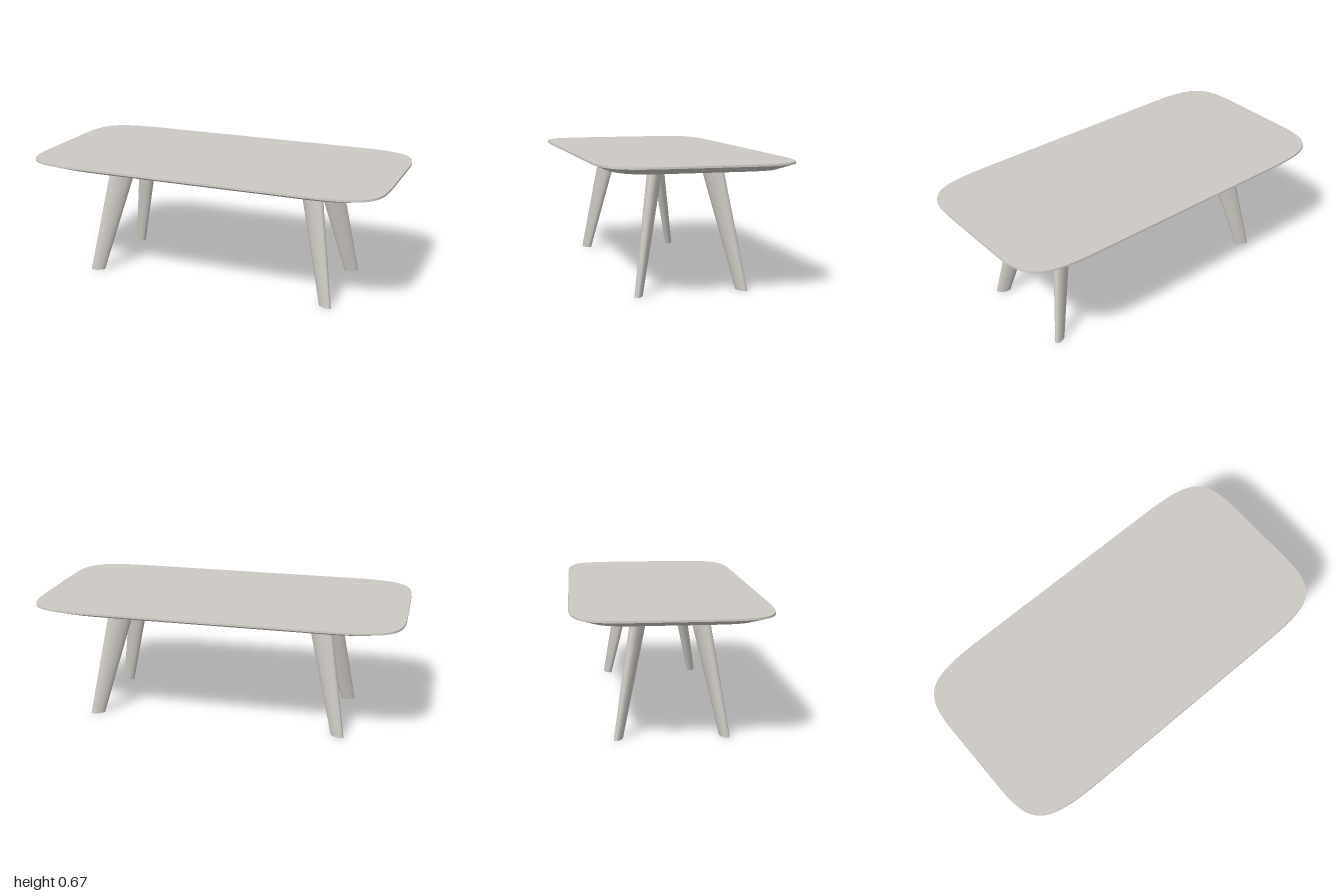
import * as THREE from 'three';
import { toCreasedNormals } from 'three/addons/utils/BufferGeometryUtils.js';

const stone = new THREE.MeshStandardMaterial({ color: 0xccc8c2 });
stone.name = 'warm grey';

// Skin a stack of equal-length rings (listed bottom to top, counter-clockwise from above) and cap both ends.
function loft(rings, crease) {
  const n = rings[0].length;
  const points = rings.flat();
  const index = [];
  for (let r = 0; r < rings.length - 1; r++) {
    for (let i = 0; i < n; i++) {
      const a = r * n + i, b = r * n + (i + 1) % n;
      index.push(a, b, b + n, a, b + n, a + n);
    }
  }
  const last = (rings.length - 1) * n;
  for (let i = 1; i < n - 1; i++) {
    index.push(0, i + 1, i);
    index.push(last, last + i, last + i + 1);
  }
  const geometry = new THREE.BufferGeometry().setFromPoints(points);
  geometry.setIndex(index);
  return toCreasedNormals(geometry, crease);
}

// Rounded-rectangle outline with long, soft corners, as [x, z] pairs
function topOutline() {
  const corner = new THREE.CubicBezierCurve(
    new THREE.Vector2(1, 0.2), new THREE.Vector2(1, 0.45),
    new THREE.Vector2(0.94, 0.505), new THREE.Vector2(0.6, 0.505)
  ).getPoints(24);
  const outline = [];
  for (const [sx, sz] of [[1, 1], [-1, 1], [-1, -1], [1, -1]]) {
    const part = corner.map(p => [p.x * sx, p.y * sz]);
    outline.push(...(sx * sz > 0 ? part : part.reverse()));
  }
  return outline.reverse();
}

function tableTop() {
  const outline = topOutline();
  // height, x scale, z scale: underside, bottom of rim, top face
  const levels = [[0.63, 0.92, 0.853], [0.661, 1, 1], [0.671, 0.999, 0.998]];
  const rings = levels.map(([y, kx, kz]) =>
    outline.map(([x, z]) => new THREE.Vector3(x * kx, y, z * kz)));
  const mesh = new THREE.Mesh(loft(rings, 0.3), stone);
  mesh.name = 'tableTop';
  return mesh;
}

// Splayed, tapering oval leg whose long axis follows the table diagonal
function leg(sx, sz) {
  const sections = [
    { y: 0, x: 0.684, z: 0.27, a: 0.039, b: 0.0195 },
    { y: 0.631, x: 0.549, z: 0.149, a: 0.073, b: 0.0366 },
  ];
  const turn = Math.atan2(sz * 0.447, sx * 0.895);
  const c = Math.cos(turn), s = Math.sin(turn);
  const sides = 40;
  const rings = sections.map(k => Array.from({ length: sides }, (_, i) => {
    const t = -i / sides * Math.PI * 2;
    const u = k.a * Math.cos(t), v = k.b * Math.sin(t);
    return new THREE.Vector3(sx * k.x + u * c - v * s, k.y, sz * k.z + u * s + v * c);
  }));
  return new THREE.Mesh(loft(rings, 0.9), stone);
}

export function createModel() {
  const table = new THREE.Group();
  table.name = 'table';
  table.add(tableTop());

  const legs = new THREE.Group();
  legs.name = 'legs';
  legs.position.set(0.012, 0, 0.004);
  for (const [sx, sz, name] of [
    [1, 1, 'frontLeftLeg'], [-1, 1, 'frontRightLeg'],
    [1, -1, 'backLeftLeg'], [-1, -1, 'backRightLeg'],
  ]) {
    const mesh = leg(sx, sz);
    mesh.name = name;
    legs.add(mesh);
  }
  table.add(legs);
  return table;
}
